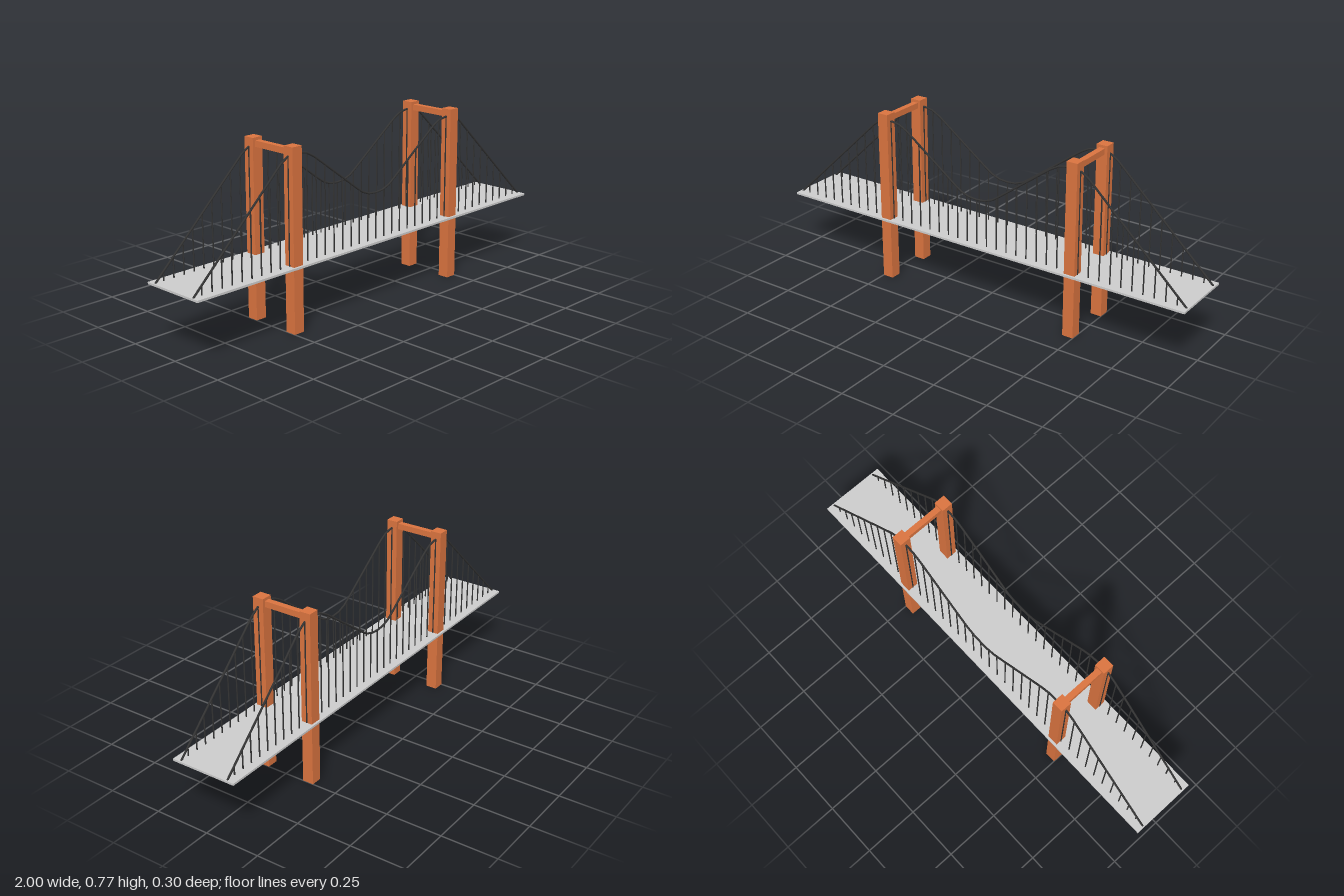
import * as THREE from 'three';

const SIDE_Z = 0.114;
const DECK_TOP = 0.285;

// Half of the main cable, from mid-span out to the deck end: [x, y]
const HALF = [
  [0, 0.489], [0.04, 0.492], [0.08, 0.507], [0.11, 0.527], [0.36, 0.711], [0.4, 0.733],
  [0.44, 0.741], [0.475, 0.74], [0.505, 0.734], [0.54, 0.711], [0.99, 0.285],
];

function cableHeight(x) {
  const ax = Math.abs(x);
  const i = Math.max(1, HALF.findIndex(p => p[0] >= ax));
  const [x0, y0] = HALF[i - 1], [x1, y1] = HALF[i];
  return y0 + (y1 - y0) * (ax - x0) / (x1 - x0);
}

export function createModel() {
  const bridge = new THREE.Group();
  bridge.name = 'suspensionBridge';
  const orange = new THREE.MeshStandardMaterial({ color: 0xd9733f });
  const grey = new THREE.MeshStandardMaterial({ color: 0xcccccc });
  const dark = new THREE.MeshStandardMaterial({ color: 0x333333 });

  const add = (name, geometry, material, x, y, z, parent = bridge) => {
    const mesh = new THREE.Mesh(geometry, material);
    mesh.name = name;
    mesh.position.set(x, y, z);
    parent.add(mesh);
    return mesh;
  };

  // Road deck
  add('deck', new THREE.BoxGeometry(2, 0.009, 0.298), grey, 0, DECK_TOP - 0.0045, 0);

  // Two towers: a pair of legs joined by a crossbeam
  for (const x of [-0.475, 0.475]) {
    const tower = new THREE.Group();
    tower.name = x > 0 ? 'leftTower' : 'rightTower';
    tower.position.x = x;
    for (const z of [-SIDE_Z, SIDE_Z]) {
      add('towerLeg', new THREE.BoxGeometry(0.05, 0.775, 0.05), orange, 0, 0.3875, z, tower);
    }
    add('crossbeam', new THREE.BoxGeometry(0.026, 0.026, 0.2), orange, 0, 0.75, 0, tower);
    bridge.add(tower);
  }

  // Main cable path: straight runs between rounded corners
  const mirrored = HALF.slice(1).reverse().map(([x, y]) => [-x, y]);
  const points = [...mirrored, ...HALF].map(([x, y]) => new THREE.Vector3(x, y, 0));
  const path = new THREE.CurvePath();
  for (let i = 1; i < points.length; i++) path.add(new THREE.LineCurve3(points[i - 1], points[i]));
  const cable = new THREE.TubeGeometry(path, 120, 0.0045, 8);

  for (const z of [-SIDE_Z, SIDE_Z]) {
    const side = new THREE.Group();
    side.name = z > 0 ? 'frontCables' : 'backCables';
    add('mainCable', cable, dark, 0, 0, z, side);
    // Closed cable ends
    for (const s of [-1, 1]) {
      add('cableEnd', new THREE.SphereGeometry(0.0045, 8, 6), dark, s * 0.99, DECK_TOP, z, side);
    }
    // Vertical hangers from cable to deck
    for (let i = -19; i <= 19; i++) {
      const x = i * 0.05;
      const h = cableHeight(x) - DECK_TOP;
      add('hanger', new THREE.CylinderGeometry(0.003, 0.003, h, 8), dark, x, DECK_TOP + h / 2, z, side);
    }
    bridge.add(side);
  }
  return bridge;
}
